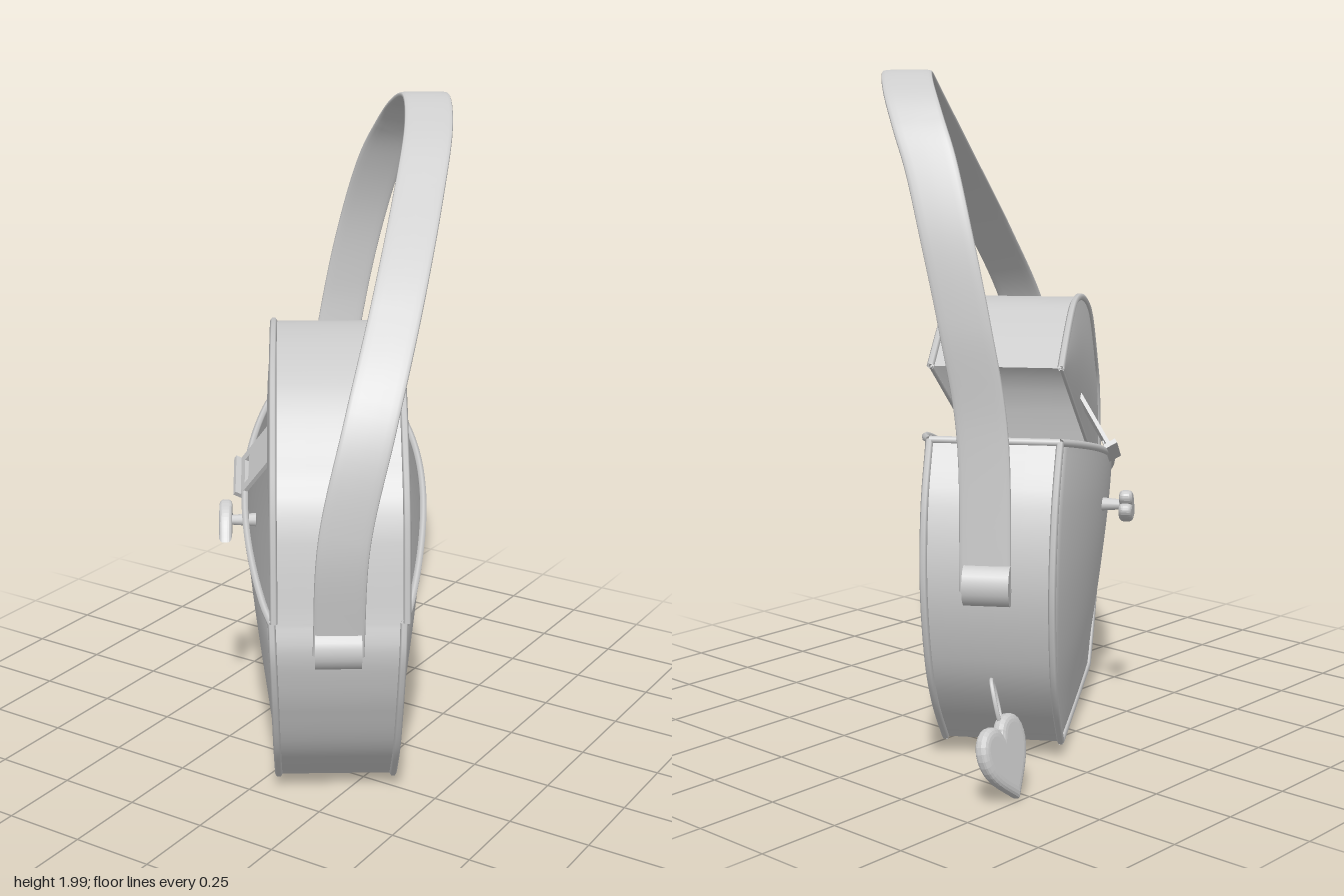
import * as THREE from 'three';
import { ParametricGeometry } from 'three/addons/geometries/ParametricGeometry.js';

const leather = new THREE.MeshStandardMaterial({ color: 0xcccccc, side: THREE.DoubleSide });
leather.name = 'paleGrey';

const lerp = THREE.MathUtils.lerp;
const spline = (...pts) => new THREE.SplineCurve(pts.map(([x, y]) => new THREE.Vector2(x, y)));

function add(parent, name, geometry, position = [0, 0, 0], rotation = [0, 0, 0]) {
  const mesh = new THREE.Mesh(geometry, leather);
  mesh.name = name;
  mesh.position.set(...position);
  mesh.rotation.set(...rotation);
  parent.add(mesh);
  return mesh;
}

// Surface from a rule (s, t) -> [x, y, z]
const surface = (rule, ns, nt) =>
  new ParametricGeometry((s, t, target) => target.set(...rule(s, t)), ns, nt);

// Raised cord following a rule t -> [x, y, z]
function piping(parent, name, rule, radius = 0.011) {
  const pts = [];
  for (let i = 0; i <= 20; i++) pts.push(new THREE.Vector3(...rule(i / 20)));
  add(parent, name, new THREE.TubeGeometry(new THREE.CatmullRomCurve3(pts), 40, radius, 6));
}

// Padded heart, about one size high, centred on its origin
function heart(size, depth) {
  const s = new THREE.Shape();
  const k = size;
  s.moveTo(0, -0.46 * k);
  s.bezierCurveTo(-0.15 * k, -0.3 * k, -0.42 * k, -0.1 * k, -0.42 * k, 0.16 * k);
  s.bezierCurveTo(-0.42 * k, 0.46 * k, -0.08 * k, 0.5 * k, 0, 0.28 * k);
  s.bezierCurveTo(0.08 * k, 0.5 * k, 0.42 * k, 0.46 * k, 0.42 * k, 0.16 * k);
  s.bezierCurveTo(0.42 * k, -0.1 * k, 0.15 * k, -0.3 * k, 0, -0.46 * k);
  const g = new THREE.ExtrudeGeometry(s, {
    depth: depth * 0.3, bevelThickness: depth * 0.35, bevelSize: size * 0.1,
    bevelOffset: -size * 0.07, bevelSegments: 4, curveSegments: 10,
  });
  return g.translate(0, 0, -depth * 0.15);
}

// Body and lid outlines, seen square to the face of the bag
const bodyLeft = spline([-0.355, 0.05], [-0.5, 0.2], [-0.59, 0.36], [-0.635, 0.58], [-0.6, 0.8], [-0.505, 0.97]);
const bodyRight = spline([0.4, 0.05], [0.53, 0.2], [0.61, 0.36], [0.65, 0.48], [0.665, 0.57], [0.65, 0.65]);
const lidEdge = spline([0.65, 0.65], [0.59, 0.945], [0.475, 1.1], [0.317, 1.245], [0.12, 1.312],
  [-0.096, 1.325], [-0.25, 1.275], [-0.44, 1.17]);

// Distance from the middle plane; the faces sit slightly forward of it
const bodyZ = (side, t) => 0.015 + side * (0.172 + 0.013 * t);
const lidZ = (side) => 0.008 + side * 0.186;

function buildBody(bag) {
  for (const side of [1, -1]) {
    const rise = side > 0 ? 0.025 : 0.055;
    const panel = (s, t) => {
      const a = bodyLeft.getPoint(t), b = bodyRight.getPoint(t);
      const belly = Math.sin(Math.PI * s);
      const bulge = 0.085 * Math.pow(belly, 0.8) * Math.sin(t * Math.PI / 2);
      return [lerp(a.x, b.x, s), lerp(a.y, b.y, s) + rise * belly * t * t, bodyZ(side, t) + side * bulge];
    };
    add(bag, 'bodyPanel', surface(panel, 24, 20));
    piping(bag, 'mouthPiping', (s) => panel(s, 1));
    piping(bag, 'bottomPiping', (s) => panel(s, 0));
    piping(bag, 'sidePiping', (t) => panel(0, t));
    piping(bag, 'sidePiping', (t) => panel(1, t));
  }
  // Side walls and base
  for (const curve of [bodyLeft, bodyRight]) {
    add(bag, 'bodySideWall', surface((s, t) => {
      const p = curve.getPoint(t);
      return [p.x, p.y, bodyZ(lerp(-1, 1, s), t)];
    }, 4, 20));
  }
  add(bag, 'base', surface((s, t) => [lerp(-0.355, 0.4, s), 0.05, bodyZ(lerp(-1, 1, t), 0)], 1, 1));
  piping(bag, 'mouthEndPiping', (t) => [-0.505, 0.97, bodyZ(lerp(-1, 1, t), 1)]);
}

function buildLid(bag) {
  const hinge = lidEdge.getPoint(0), tip = lidEdge.getPoint(1);
  for (const side of [1, -1]) {
    const z = lidZ(side);
    add(bag, 'lidPanel', surface((s, t) => {
      const p = lidEdge.getPoint(t);
      const puff = 0.02 * Math.sin(Math.PI * t) * Math.sin(Math.PI * s);
      return [lerp(lerp(hinge.x, tip.x, t), p.x, s), lerp(lerp(hinge.y, tip.y, t), p.y, s), z + side * puff];
    }, 10, 28));
    piping(bag, 'lidPiping', (t) => {
      const p = lidEdge.getPoint(t);
      return [p.x, p.y, z];
    });
    piping(bag, 'lidRim', (t) => [lerp(hinge.x, tip.x, t), lerp(hinge.y, tip.y, t), z], 0.006);
  }
  add(bag, 'lidTop', surface((s, t) => {
    const p = lidEdge.getPoint(t);
    return [p.x, p.y, lidZ(lerp(-1, 1, s))];
  }, 4, 28));
}

function buildStrap(bag) {
  const path = new THREE.CatmullRomCurve3([
    [0.69, 0.57, 0.015], [0.73, 0.92, 0], [0.671, 1.23, -0.07], [0.455, 1.5, -0.15],
    [0.138, 1.77, -0.23], [-0.08, 1.925, -0.27], [-0.26, 1.99, -0.272], [-0.41, 1.945, -0.24],
    [-0.505, 1.85, -0.195], [-0.565, 1.74, -0.15], [-0.62, 1.56, -0.1], [-0.643, 1.31, -0.045],
    [-0.63, 1.02, 0], [-0.64, 0.57, 0.01],
  ].map((p) => new THREE.Vector3(...p)));
  const soft = (v) => Math.sign(v) * Math.pow(Math.abs(v), 0.5);
  add(bag, 'shoulderStrap', surface((s, t) => {
    const p = path.getPoint(t), dir = path.getTangent(t);
    const across = new THREE.Vector3(0, 0, 1).addScaledVector(dir, -dir.z).normalize();
    const out = dir.clone().cross(across);
    const a = s * Math.PI * 2;
    return p.addScaledVector(across, 0.072 * soft(Math.cos(a)))
      .addScaledVector(out, 0.009 * soft(Math.sin(a))).toArray();
  }, 16, 100));
  // Loops that hold the strap ends
  for (const x of [0.685, -0.64]) {
    const loop = add(bag, 'strapLoop', new THREE.CylinderGeometry(0.058, 0.058, 0.13, 20),
      [x, 0.59, 0.015], [Math.PI / 2, 0, 0]);
    loop.scale.x = 0.8;
  }
}

function buildClasp(bag) {
  // Tab on the lid, swung outwards, with a slot for the lock
  const hang = new THREE.Group();
  hang.name = 'claspTab';
  hang.position.set(0.06, 0.98, 0.205);
  hang.rotation.z = -0.44;
  bag.add(hang);
  const tab = new THREE.Shape();
  tab.moveTo(-0.08, 0.02).lineTo(0.08, 0.02).lineTo(0.08, -0.16).lineTo(-0.08, -0.16);
  const slot = new THREE.Path();
  slot.moveTo(-0.05, -0.11).lineTo(-0.05, -0.135).lineTo(0.05, -0.135).lineTo(0.05, -0.11);
  tab.holes.push(slot);
  add(hang, 'tab', new THREE.ExtrudeGeometry(tab, { depth: 0.012, bevelEnabled: false }),
    [0, 0, 0], [-0.55, 0, 0]);
  add(hang, 'tabPlate', new THREE.BoxGeometry(0.16, 0.014, 0.04), [0, -0.135, 0.095], [-0.55, 0, 0]);

  // Turning lock on the body
  add(bag, 'lockStem', new THREE.CylinderGeometry(0.014, 0.022, 0.1, 10),
    [-0.045, 0.7, 0.305], [Math.PI / 2, 0, 0]);
  const lock = add(bag, 'lockHeart', heart(0.17, 0.04), [-0.045, 0.69, 0.35], [0, 0, -0.44 + Math.PI / 2]);
  lock.scale.x = 0.6;
}

function buildCharm(root) {
  const charm = new THREE.Group();
  charm.name = 'heartCharm';
  charm.position.set(-0.462, 0.125, -0.56);
  charm.rotation.y = 1.75;
  root.add(charm);
  add(charm, 'heart', heart(0.24, 0.042), [0, 0, 0], [0.22, 0, -0.15]);
  const ring = add(charm, 'charmRing', new THREE.TorusGeometry(0.068, 0.006, 8, 28),
    [-0.03, 0.14, 0.045], [0.25, 0.5, 0]);
  ring.scale.x = 0.45;
}

export function createModel() {
  const root = new THREE.Group();
  root.name = 'handbag';
  const bag = new THREE.Group();
  bag.name = 'bag';
  bag.rotation.y = -0.985;
  root.add(bag);
  buildBody(bag);
  buildLid(bag);
  buildStrap(bag);
  buildClasp(bag);
  buildCharm(root);
  return root;
}
